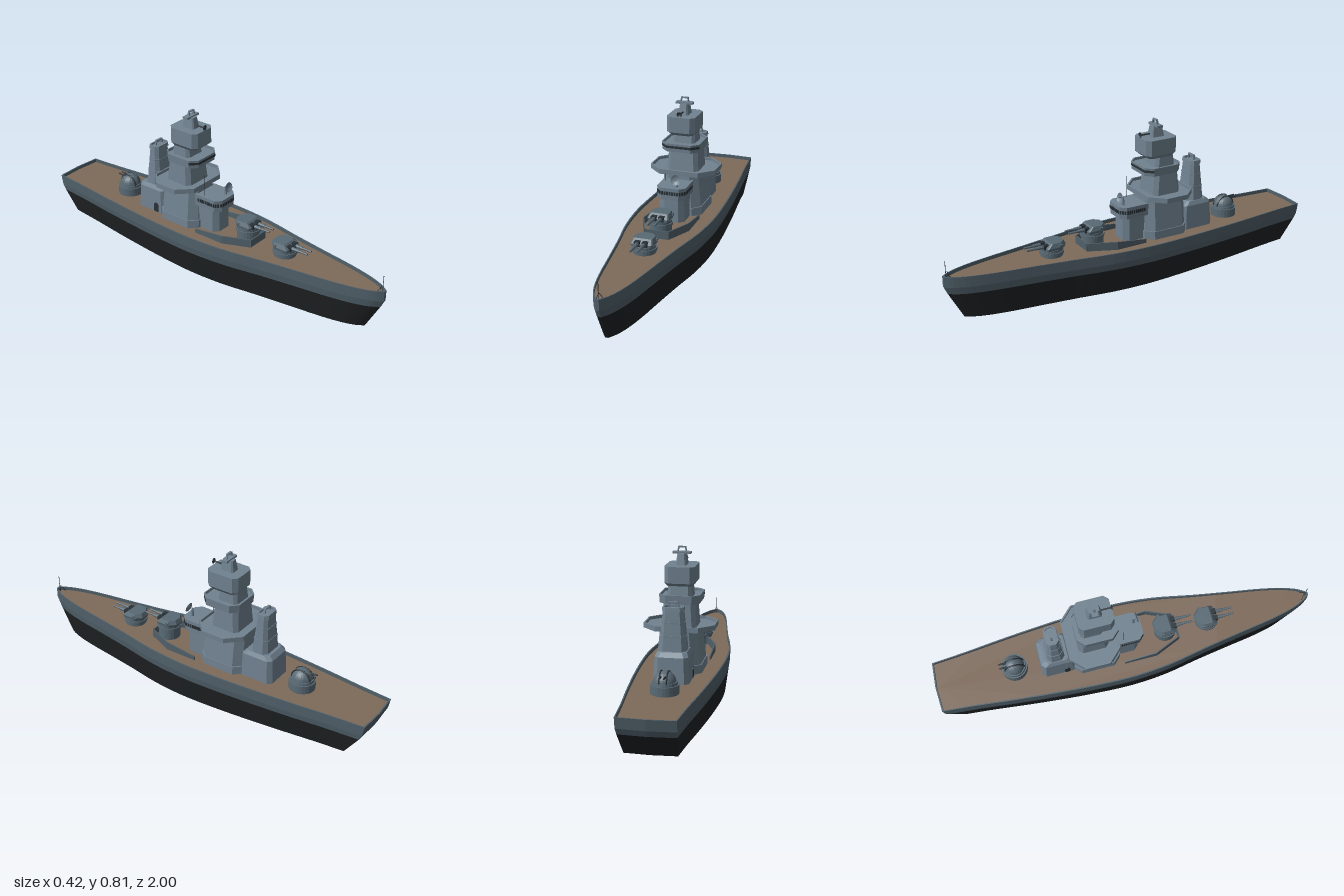
import * as THREE from 'three';

const mat = (color) => new THREE.MeshStandardMaterial({ color, flatShading: true, side: THREE.DoubleSide });
const STEEL = mat(0x708290), GUN = mat(0x596a75), HULL = mat(0x50606a), KEEL = mat(0x1e2123);
const DECK = mat(0x7d6a5a), DARK = mat(0x2a3237);

export function createModel() {
  const ship = new THREE.Group();
  const add = (name, geo, material, x = 0, y = 0, z = 0, parent = ship) => {
    const m = new THREE.Mesh(geo, material);
    m.name = name;
    m.position.set(x, y, z);
    parent.add(m);
    return m;
  };
  const box = (name, w, h, d, material, x, y, z, parent) =>
    add(name, new THREE.BoxGeometry(w, h, d), material, x, y, z, parent);
  const tube = (name, r1, r0, h, n, material, x, y, z, parent) =>
    add(name, new THREE.CylinderGeometry(r1, r0, h, n), material, x, y, z, parent);

  // Skin a stack of matching rings (counter-clockwise from above), with end caps
  const loft = (rings, capLow = true, capHigh = true) => {
    const pos = [];
    const tri = (...p) => p.forEach((v) => pos.push(...v));
    for (let k = 0; k + 1 < rings.length; k++) {
      const a = rings[k], b = rings[k + 1], n = a.length;
      for (let i = 0; i < n; i++) {
        const j = (i + 1) % n;
        tri(a[i], a[j], b[j]);
        tri(a[i], b[j], b[i]);
      }
    }
    const cap = (r, up) => {
      const flat = r.map((p) => new THREE.Vector2(p[0], -p[2]));
      for (const [i, j, k] of THREE.ShapeUtils.triangulateShape(flat, [])) {
        const ccw = !THREE.ShapeUtils.isClockWise([flat[i], flat[j], flat[k]]);
        if (ccw === up) tri(r[i], r[j], r[k]);
        else tri(r[i], r[k], r[j]);
      }
    };
    if (capLow) cap(rings[0], false);
    if (capHigh) cap(rings[rings.length - 1], true);
    const g = new THREE.BufferGeometry();
    g.setAttribute('position', new THREE.Float32BufferAttribute(pos, 3));
    g.computeVertexNormals();
    return g;
  };

  // Chamfered rectangle: half width, front z, back z, front and back chamfers
  const oct = (y, hx, zF, zB, cF, cB = cF) => [
    [hx, zF - cF], [hx, zB + cB], [hx - cB, zB], [-hx + cB, zB],
    [-hx, zB + cB], [-hx, zF - cF], [-hx + cF, zF], [hx - cF, zF],
  ].map(([x, z]) => [x, y, z]);

  // Hull: one deck outline scaled down towards the keel
  const side = new THREE.CatmullRomCurve3([
    [0.008, 1], [0.035, 0.96], [0.062, 0.89], [0.09, 0.77], [0.118, 0.6], [0.152, 0.4], [0.19, 0.2],
    [0.207, 0], [0.203, -0.2], [0.19, -0.4], [0.17, -0.62], [0.148, -0.82], [0.133, -0.992],
  ].map(([x, z]) => new THREE.Vector3(x, 0, z))).getPoints(36);
  const outline = [...side.map((p) => [p.x, p.z]), [0, -1], ...side.map((p) => [-p.x, p.z]).reverse()];
  const ring = (y, s, zF, zB, tilt = 0) => outline.map(([x, z]) => {
    const zz = z * (z > 0 ? zF : zB);
    return [x * s, y - tilt * zz, zz];
  });
  const water = ring(0.141, 0.975, 0.983, 0.975, 0.004);
  add('lowerHull', loft([ring(0.0175, 0.895, 0.91, 0.9, 0.0192), water], true, false), KEEL);
  add('upperHull', loft([water, ring(0.175, 1, 1, 0.99), ring(0.228, 1, 1, 1),
    ring(0.228, 0.965, 0.99, 0.993), ring(0.21, 0.965, 0.99, 0.993)], false, false), HULL);
  add('deck', loft([ring(0.206, 0.965, 0.99, 0.993), ring(0.21, 0.965, 0.99, 0.993)], false), DECK);

  // Jackstaff and its braces at the bow
  tube('jackstaff', 0.0015, 0.0015, 0.09, 6, DARK, 0, 0.258, 0.985);
  for (const s of [-1, 1]) {
    const brace = tube('jackstaffBrace', 0.0015, 0.0015, 0.05, 5, DARK, s * 0.01, 0.23, 0.97);
    brace.rotation.set(0.4, 0, s * 0.45);
  }

  // Breakwater: thin wall around the second turret, sloping down aft
  const wall = [[0.118, 0.23, -0.03], [0.118, 0.251, 0.14], [0.06, 0.251, 0.275]];
  const path = [...wall, ...wall.map(([x, y, z]) => [-x, y, z]).reverse()];
  for (let i = 0; i + 1 < path.length; i++) {
    const [a, b] = [path[i], path[i + 1]];
    const d = new THREE.Vector2(b[0] - a[0], b[2] - a[2]).normalize().multiplyScalar(0.003);
    const foot = (o) => [[a, 1], [b, 1], [b, -1], [a, -1]].map(([p, s]) => [p[0] - d.y * s, o ? 0.208 : p[1], p[2] + d.x * s]);
    add('breakwater', loft([foot(true), foot(false)]), HULL);
  }

  // Forward gun turrets
  const turret = (z, top) => {
    const g = new THREE.Group();
    g.name = 'gunTurret';
    g.position.set(0, top, z);
    ship.add(g);
    const h = top - 0.208;
    tube('barbette', 0.056, 0.056, h, 24, GUN, 0, -h / 2, 0, g);
    tube('barbetteCollar', 0.061, 0.061, 0.014, 24, GUN, 0, -0.02, 0, g);
    add('gunHouse', loft([oct(0, 0.052, 0.045, -0.062, 0.006, 0.03), oct(0.013, 0.055, 0.045, -0.065, 0.006, 0.03),
      oct(0.034, 0.046, 0.02, -0.055, 0.005, 0.025)]), GUN);
    g.add(ship.children[ship.children.length - 1]);
    for (const s of [-1, 1]) {
      box('gunMantlet', 0.026, 0.024, 0.03, DARK, s * 0.019, 0.015, 0.038, g);
      tube('gunSleeve', 0.008, 0.01, 0.04, 10, GUN, s * 0.017, 0.016, 0.07, g).rotation.x = Math.PI / 2;
      tube('gunBarrel', 0.005, 0.007, 0.09, 10, GUN, s * 0.017, 0.016, 0.095, g).rotation.x = Math.PI / 2;
      box('rangefinderEar', 0.012, 0.01, 0.016, GUN, s * 0.052, 0.02, -0.025, g);
    }
  };
  turret(0.44, 0.25);
  turret(0.215, 0.29);

  // Aft domed turret, guns pointing astern
  tube('aftBarbette', 0.066, 0.066, 0.045, 24, GUN, 0, 0.2305, -0.585);
  tube('aftTurntable', 0.058, 0.06, 0.014, 24, GUN, 0, 0.259, -0.585);
  const dome = add('aftDome', new THREE.SphereGeometry(0.053, 20, 8, 0, Math.PI * 2, 0, Math.PI / 2), GUN, 0, 0.262, -0.585);
  for (const s of [-1, 1]) {
    const rib = add('domeRib', new THREE.TorusGeometry(0.051, 0.004, 6, 20, Math.PI), DARK, s * 0.017, 0.262, -0.585);
    rib.rotation.y = Math.PI / 2;
    const barrel = tube('aftGunBarrel', 0.004, 0.006, 0.1, 8, DARK, s * 0.011, 0.295, -0.61);
    barrel.rotation.x = -Math.PI / 2 + 0.08;
  }

  // Main tower in stacked chamfered tiers
  const tier = (name, ...rings) => add(name, loft(rings.map((r) => oct(...r))), STEEL);
  tier('towerFoot', [0.206, 0.115, -0.045, -0.295, 0.04], [0.252, 0.113, -0.045, -0.295, 0.04]);
  tier('towerBase', [0.25, 0.109, -0.05, -0.29, 0.04], [0.42, 0.09, -0.06, -0.285, 0.035]);
  tier('lowerPlatform', [0.42, 0.173, -0.048, -0.308, 0.07], [0.445, 0.173, -0.048, -0.308, 0.07],
    [0.445, 0.166, -0.055, -0.301, 0.068], [0.43, 0.166, -0.055, -0.301, 0.068]);
  tier('middleTower', [0.43, 0.084, -0.1, -0.255, 0.02], [0.55, 0.076, -0.112, -0.245, 0.02]);
  tier('upperPlatform', [0.543, 0.097, -0.052, -0.255, 0.035], [0.585, 0.1, -0.05, -0.257, 0.035],
    [0.585, 0.094, -0.056, -0.251, 0.033], [0.572, 0.094, -0.056, -0.251, 0.033]);
  tier('upperTower', [0.57, 0.06, -0.122, -0.235, 0.015], [0.63, 0.056, -0.13, -0.228, 0.015]);
  tier('directorHouse', [0.622, 0.06, -0.085, -0.225, 0.018], [0.64, 0.074, -0.065, -0.24, 0.022],
    [0.72, 0.074, -0.065, -0.24, 0.022]);
  tier('mastFoot', [0.72, 0.027, -0.115, -0.19, 0.008], [0.775, 0.019, -0.125, -0.18, 0.006]);
  box('mastCrossbar', 0.088, 0.011, 0.03, STEEL, 0, 0.777, -0.152);

  // Dark panes along chosen edges of a chamfered ring
  const panes = (r, edges, y, h, gap) => edges.forEach((e) => {
    const a = new THREE.Vector3(...r[e]), b = new THREE.Vector3(...r[(e + 1) % 8]);
    const len = a.distanceTo(b), n = gap ? Math.max(1, Math.round(len / 0.0125)) : 1;
    for (let i = 0; i < n; i++) {
      const p = a.clone().lerp(b, (i + 0.5) / n);
      box('windowPane', (len / n) * (gap ? 0.72 : 1), h, 0.004, DARK, p.x, y, p.z)
        .rotation.y = Math.atan2(-(b.z - a.z), b.x - a.x);
    }
  });
  panes(oct(0, 0.099, -0.051, -0.256, 0.035), [5, 6, 7], 0.568, 0.012, false);

  // Open yoke frames above the mast and funnel
  const yoke = (y, z, w) => {
    for (const s of [-1, 1]) box('yokeLeg', 0.006, 0.026, 0.01, STEEL, s * w, y + 0.012, z).rotation.z = s * 0.2;
    box('yokeBar', w * 2, 0.006, 0.012, STEEL, 0, y + 0.022, z);
  };
  yoke(0.782, -0.15, 0.018);
  yoke(0.56, -0.372, 0.022);

  // Bridge with windows all round its overhanging cab
  tier('bridgePedestal', [0.206, 0.062, 0.06, -0.07, 0.025, 0.005], [0.34, 0.06, 0.06, -0.07, 0.025, 0.005]);
  tier('bridgeCab', [0.336, 0.073, 0.083, -0.07, 0.028, 0.004], [0.398, 0.075, 0.085, -0.07, 0.028, 0.004]);
  panes(oct(0, 0.0745, 0.0845, -0.055, 0.028, 0.004), [0, 4, 5, 6, 7], 0.371, 0.018, true);
  tube('whipAntenna', 0.001, 0.0015, 0.115, 5, DARK, -0.058, 0.453, -0.02);

  // Dish aerials
  const dish = (name, r, material, x, y, z, tilt) => {
    const pts = [0, 0.35, 0.7, 1].map((t) => new THREE.Vector2(r * t, r * 0.4 * t * t));
    const d = add(name, new THREE.LatheGeometry(pts, 18), material, x, y, z);
    d.rotation.x = Math.PI / 2 - tilt;
    tube('dishFeed', 0.001, 0.001, r * 0.7, 5, DARK, 0, r * 0.35, 0, d);
  };
  dish('bridgeDish', 0.026, STEEL, 0.026, 0.437, 0.06, 0.25);
  tube('bridgeDishPost', 0.005, 0.009, 0.045, 8, STEEL, 0.024, 0.418, 0.05);
  dish('directorDish', 0.014, DARK, 0, 0.736, -0.068, 0);
  tube('directorDishArm', 0.004, 0.004, 0.055, 8, DARK, 0, 0.735, -0.095).rotation.x = Math.PI / 2;

  // Funnel on its deckhouse
  tier('funnelHouse', [0.206, 0.085, -0.28, -0.457, 0.012, 0.02], [0.335, 0.08, -0.285, -0.45, 0.012, 0.02],
    [0.355, 0.07, -0.31, -0.43, 0.012, 0.02]);
  tier('funnel', [0.35, 0.066, -0.325, -0.415, 0.02], [0.548, 0.048, -0.343, -0.4, 0.015]);
  tier('funnelCap', [0.545, 0.052, -0.338, -0.405, 0.016], [0.562, 0.05, -0.34, -0.403, 0.016],
    [0.562, 0.043, -0.347, -0.396, 0.014], [0.552, 0.043, -0.347, -0.396, 0.014]);
  for (const [y, t] of [[0.42, 0.35], [0.485, 0.68]]) {
    const w = 0.068 - 0.018 * t, zF = -0.323 - 0.018 * t, zB = -0.417 + 0.015 * t;
    tier('funnelBand', [y, w, zF, zB, 0.019], [y + 0.006, w, zF, zB, 0.019]);
  }

  // Arched door on the deckhouse side
  const arch = new THREE.Shape().moveTo(-0.014, 0).lineTo(0.014, 0).lineTo(0.014, 0.036)
    .absarc(0, 0.036, 0.014, 0, Math.PI, false).lineTo(-0.014, 0);
  const door = add('deckhouseDoor', new THREE.ExtrudeGeometry(arch, { depth: 0.006, bevelEnabled: false }), DARK, -0.081, 0.212, -0.325);
  door.rotation.y = -Math.PI / 2;

  return ship;
}
